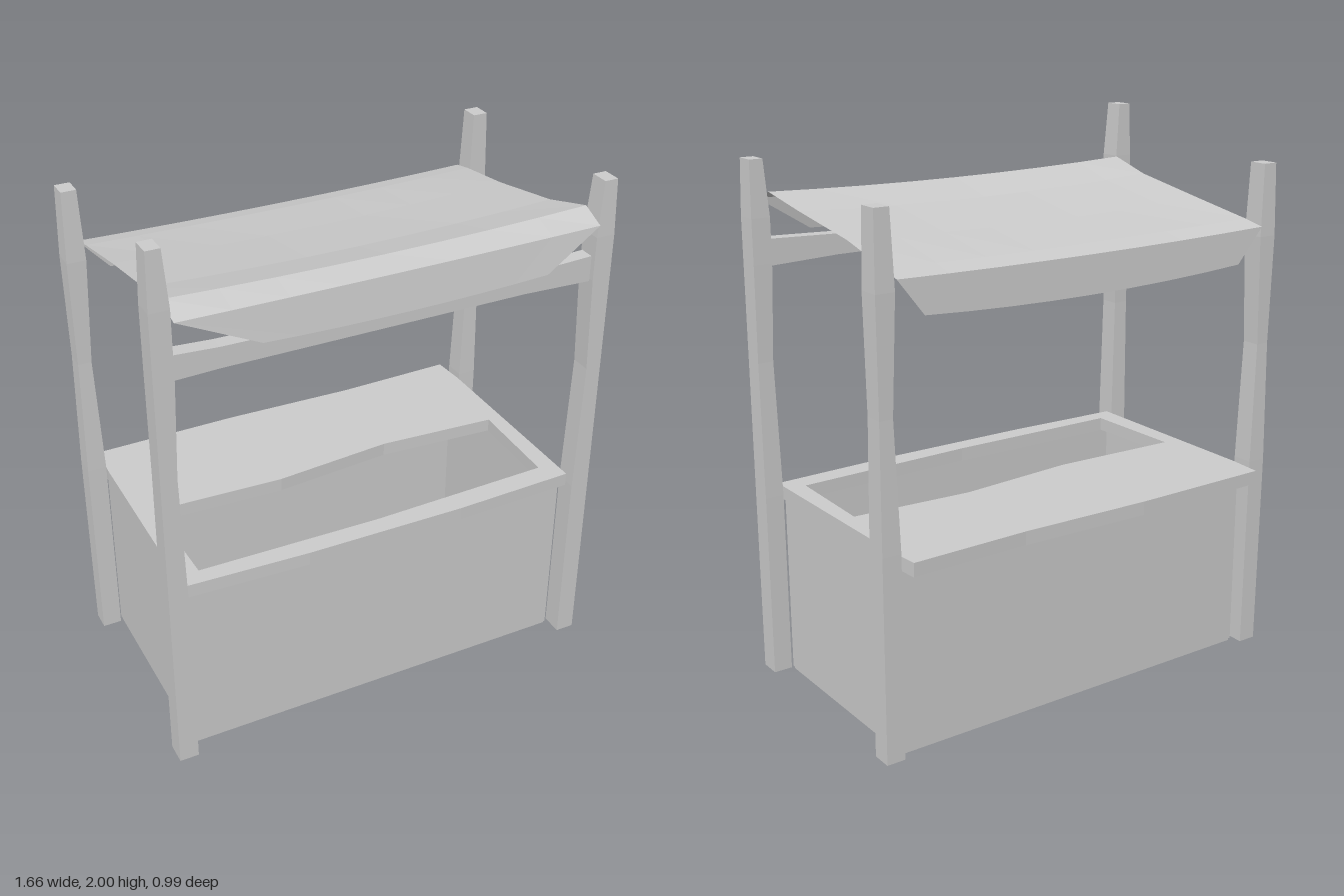
import * as THREE from 'three';

const mat = new THREE.MeshStandardMaterial({ color: 0xcccccc, flatShading: true, side: THREE.DoubleSide });

function addMesh(group, geometry, name) {
  const mesh = new THREE.Mesh(geometry, mat);
  mesh.name = name;
  group.add(mesh);
  return mesh;
}

// Skins a list of equal-length rows of points; closed rows get end caps.
function skin(rows, closed) {
  const n = rows[0].length, pos = rows.flat(2), index = [];
  for (let i = 0; i < rows.length - 1; i++) {
    for (let j = 0; j < (closed ? n : n - 1); j++) {
      const a = i * n + j, b = i * n + (j + 1) % n;
      index.push(a, b, a + n, b, b + n, a + n);
    }
  }
  if (closed) {
    const e = (rows.length - 1) * n;
    for (let j = 1; j < n - 1; j++) index.push(0, j + 1, j, e, e + j, e + j + 1);
  }
  const g = new THREE.BufferGeometry();
  g.setAttribute('position', new THREE.Float32BufferAttribute(pos, 3));
  g.setIndex(index);
  g.computeVertexNormals();
  return g;
}

// Flat slab with a hole, outlines given as [x, z] corners.
function slab(outer, inner, y, depth) {
  const pts = list => list.map(([x, z]) => new THREE.Vector2(x, -z));
  const shape = new THREE.Shape(pts(outer));
  shape.holes.push(new THREE.Path(pts(inner)));
  return new THREE.ExtrudeGeometry(shape, { depth, bevelEnabled: false }).rotateX(-Math.PI / 2).translate(0, y, 0);
}

const rect = (x, z0, z1) => [[-x, z0], [x, z0], [x, z1], [-x, z1]];

// Rough-hewn post: square sections [y, inner x, outer x, back z, front z].
function post(sections, side) {
  const rows = sections.map(([y, xi, xo, z0, z1]) => {
    const r = [[side * xi, y, z0], [side * xi, y, z1], [side * xo, y, z1], [side * xo, y, z0]];
    return side > 0 ? r : r.reverse();
  });
  return skin(rows, true);
}

export function createModel() {
  const model = new THREE.Group();
  model.name = 'marketStall';

  // Corner posts
  const frontPost = (top, side) => post([
    [0.01, 0.76, 0.83, 0.38, 0.46], [0.7, 0.76, 0.83, 0.38, 0.46], [1.2, 0.772, 0.83, 0.385, 0.46],
    [1.55, 0.76, 0.83, 0.38, 0.46], [top - 0.2, 0.76, 0.83, 0.38, 0.46], [top, 0.775, 0.825, 0.385, 0.455]], side);
  const backPost = side => post([
    [0.01, 0.76, 0.83, -0.435, -0.36], [0.75, 0.76, 0.83, -0.44, -0.36], [1.2, 0.775, 0.825, -0.435, -0.365],
    [1.6, 0.76, 0.83, -0.44, -0.36], [1.86, 0.77, 0.825, -0.435, -0.365]], side);
  addMesh(model, frontPost(1.91, 1), 'frontLeftPost');
  addMesh(model, frontPost(2, -1), 'frontRightPost');
  addMesh(model, backPost(1), 'backLeftPost');
  addMesh(model, backPost(-1), 'backRightPost');

  // Hollow bin with floor
  addMesh(model, slab(rect(0.748, 0.39, -0.39), rect(0.72, 0.36, -0.36), 0.01, 0.68), 'binWalls');
  addMesh(model, new THREE.BoxGeometry(1.49, 0.02, 0.77).translate(0, 0.01, 0), 'binFloor');

  // Counter frame, wide and overhanging at the back
  addMesh(model, slab(
    [[-0.76, 0.41], [-0.3, 0.43], [0.3, 0.435], [0.76, 0.42], [0.755, -0.36], [0.745, -0.49],
      [0.3, -0.48], [-0.2, -0.495], [-0.745, -0.49], [-0.755, -0.36]],
    [[-0.68, 0.35], [0, 0.36], [0.69, 0.34], [0.7, -0.03], [0.25, -0.06], [-0.2, -0.02], [-0.69, -0.04]],
    0.682, 0.05), 'counter');

  // Front crossbar under the awning
  const bar = [[-0.77, 1.545, 1.635], [-0.6, 1.55, 1.625], [0, 1.55, 1.617], [0.5, 1.55, 1.625], [0.77, 1.54, 1.635]];
  addMesh(model, skin(bar.map(([x, y0, y1]) =>
    [[x, y0, 0.385], [x, y1, 0.385], [x, y1, 0.44], [x, y0, 0.44]].reverse()).reverse(), true), 'frontCrossbar');

  // Sagging cloth awning: rows of [z, y, right x, left x, sag]
  const cloth = [
    [0.493, 1.635, -0.48, 0.55, 0.012], [0.475, 1.762, -0.757, 0.757, 0.004], [0.38, 1.797, -0.762, 0.762, 0.016],
    [0.2, 1.752, -0.75, 0.74, 0.02], [-0.1, 1.702, -0.75, 0.73, 0.02], [-0.36, 1.657, -0.757, 0.75, 0.01],
    [-0.443, 1.638, -0.762, 0.755, 0.01], [-0.447, 1.515, -0.65, 0.66, 0.022]];
  addMesh(model, skin(cloth.map(([z, y, x0, x1, sag]) => {
    const row = [];
    for (let i = 0; i <= 8; i++) {
      const u = i / 8;
      row.push([x0 + (x1 - x0) * u, y - sag * 4 * u * (1 - u), z]);
    }
    return row;
  }).reverse().map(r => r.reverse()), false), 'awning');

  return model;
}
